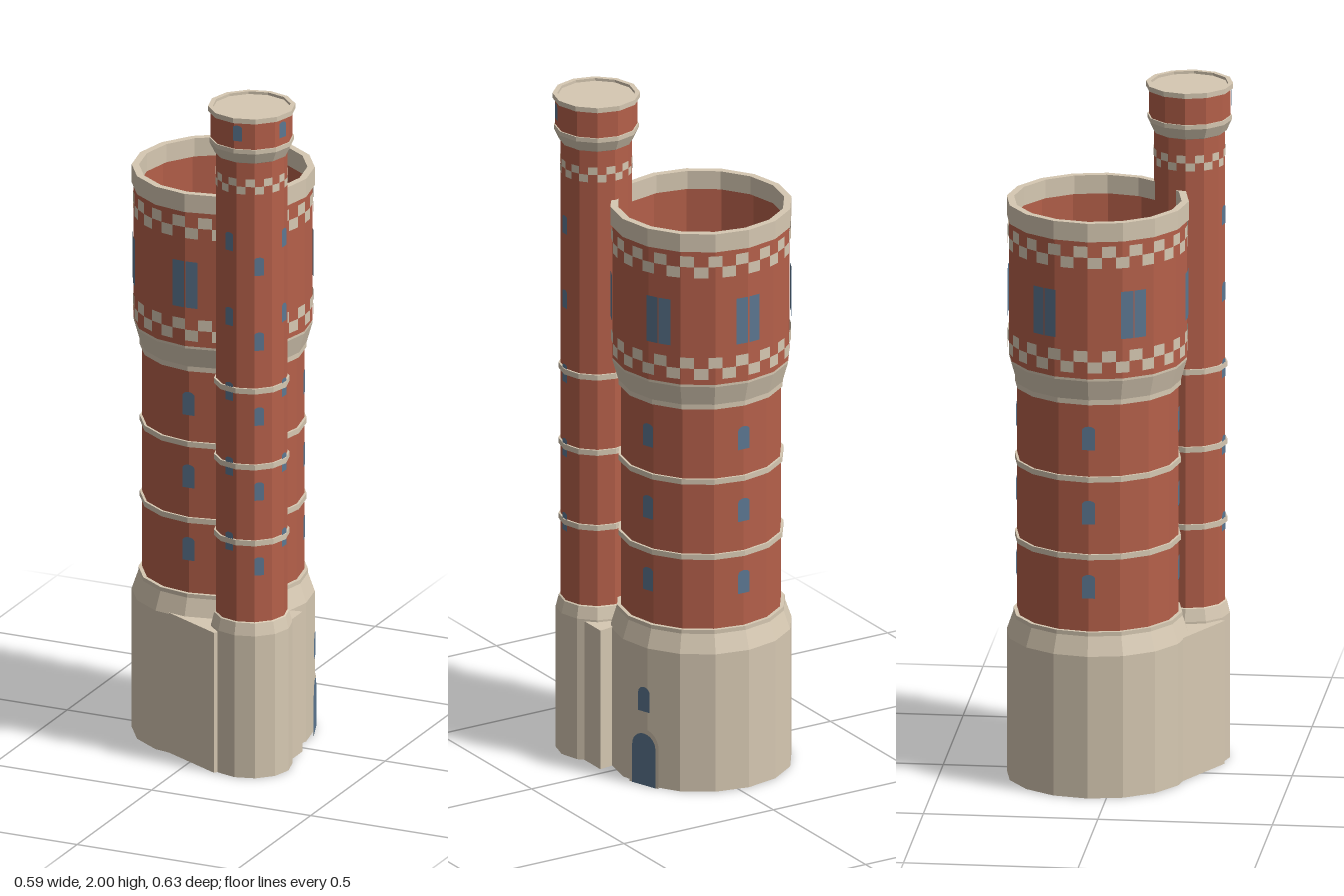
import * as THREE from 'three';

export function createModel() {
  const model = new THREE.Group();
  model.name = 'roundTower';
  const material = (name, color) => {
    const m = new THREE.MeshStandardMaterial({ color, flatShading: true, side: THREE.DoubleSide });
    m.name = name;
    return m;
  };
  const stone = material('paleStone', 0xd6c8b2);
  const brick = material('redBrick', 0xb5604a);
  const glass = material('blueGrey', 0x5c7791);

  const add = (parent, name, geometry, mat) => {
    const mesh = new THREE.Mesh(geometry, mat);
    mesh.name = name;
    parent.add(mesh);
    return mesh;
  };
  const rad = THREE.MathUtils.degToRad;

  // A tower is a group at its own axis; azimuth 0 faces the front, 90 faces +x
  const tower = (name, x, z, sides) => {
    const group = new THREE.Group();
    group.name = name;
    group.position.set(x, 0, z);
    model.add(group);
    return {
      ring(part, mat, ...profile) {
        const points = profile.map(([r, y]) => new THREE.Vector2(r, y));
        add(group, part, new THREE.LatheGeometry(points, sides), mat);
      },
      band(part, r, inner, y0, y1) {
        this.ring(part, stone, [inner, y0], [r, y0], [r, y1], [inner, y1]);
      },
      // Thin upright plate, with an optional arched top
      plate(part, mat, azimuth, r, w, y0, y1, arch = 0) {
        const s = new THREE.Shape();
        s.moveTo(-w / 2, y0);
        s.lineTo(w / 2, y0);
        s.lineTo(w / 2, y1 - arch);
        if (arch) s.absellipse(0, y1 - arch, w / 2, arch, 0, Math.PI, false);
        else s.lineTo(-w / 2, y1);
        s.closePath();
        const g = new THREE.ShapeGeometry(s, 6);
        g.translate(0, 0, r);
        g.rotateY(rad(azimuth));
        add(group, part, g, mat);
      },
      // Two staggered rows of square stones
      checker(part, r, y, h, count) {
        const step = (Math.PI * 2) / count;
        for (let row = 0; row < 2; row++) {
          for (let i = 0; i < count; i++) {
            const g = new THREE.CylinderGeometry(r, r, h, 1, 1, true, (i + row / 2) * step, step / 2);
            g.translate(0, y + (row + 0.5) * h, 0);
            add(group, part, g, stone);
          }
        }
      },
    };
  };

  const bandHeights = [0.7, 0.93, 1.16];

  // Main tower, an open shell
  const main = tower('mainTower', -0.034, -0.053, 16);
  main.ring('mainBase', stone, [0.261, 0], [0.261, 0.42], [0.242, 0.475], [0.242, 0.487], [0.231, 0.487]);
  main.ring('mainShaft', brick, [0.231, 0.487], [0.231, 1.165]);
  bandHeights.slice(0, 2).forEach((y) => main.band('mainBand', 0.238, 0.231, y, y + 0.016));
  main.ring('mainCorbel', stone, [0.231, 1.16], [0.238, 1.16], [0.238, 1.175], [0.255, 1.235], [0.255, 1.242]);
  main.ring('upperWall', brick, [0.255, 1.242], [0.255, 1.65]);
  main.ring('parapet', stone, [0.255, 1.65], [0.261, 1.65], [0.261, 1.705], [0.24, 1.705], [0.24, 1.65], [0.254, 1.65]);
  main.checker('lowerChecker', 0.2575, 1.26, 0.033, 20);
  main.checker('upperChecker', 0.2575, 1.57, 0.033, 20);

  // Paired upper windows
  for (let a = 0; a < 360; a += 60) {
    for (const side of [-1, 1]) {
      main.plate('upperWindow', glass, a + side * 4.6, 0.2575, 0.037, 1.36, 1.5);
    }
  }
  // Shaft windows
  for (const a of [0, 108, 180, 270]) {
    for (const y of [0.585, 0.805, 1.025]) main.plate('shaftWindow', glass, a, 0.2325, 0.038, y, y + 0.07, 0.012);
  }
  // Door, its surround and the small window above
  main.plate('doorSurround', stone, 110, 0.261, 0.105, 0, 0.172, 0.05);
  main.plate('door', glass, 110, 0.2625, 0.084, 0, 0.158, 0.04);
  main.plate('doorWindow', glass, 110, 0.262, 0.042, 0.225, 0.3, 0.02);

  // Stair turret
  const turret = tower('stairTurret', 0.168, 0.187, 12);
  turret.ring('turretBase', stone, [0.116, 0], [0.116, 0.43], [0.107, 0.466], [0.102, 0.468]);
  turret.ring('turretShaft', brick, [0.102, 0.468], [0.102, 1.86]);
  bandHeights.forEach((y) => turret.band('turretBand', 0.108, 0.102, y, y + 0.016));
  turret.checker('turretChecker', 0.1035, 1.764, 0.023, 12);
  turret.ring('turretCorbel', stone, [0.102, 1.858], [0.106, 1.86], [0.121, 1.892], [0.121, 1.905], [0.117, 1.905]);
  turret.ring('turretHead', brick, [0.117, 1.905], [0.117, 1.985]);
  turret.ring('turretRim', stone, [0.117, 1.983], [0.125, 1.985], [0.125, 2], [0.111, 2], [0.111, 1.992], [0, 1.992]);

  // Turret windows climb in staggered columns
  for (const [a, y0] of [[-13, 0.68], [37, 0.61], [88, 0.68]]) {
    for (let i = 0; i < 5; i++) {
      const y = y0 + i * 0.227;
      turret.plate('turretWindow', glass, a, 0.1035, 0.028, y, y + 0.055, 0.008);
    }
  }
  for (const a of [5, 73]) turret.plate('headWindow', glass, a, 0.1185, 0.028, 1.93, 1.977, 0.008);

  // Low stone link between tower and turret, open below
  const plan = [[-0.088, 0.197], [0.1, 0.295], [0.168, 0.187], [0.253, 0.12], [0.253, 0.027], [0.205, 0.035]];
  const top = 0.424;
  const walls = [];
  plan.forEach(([x, z], i) => {
    const [u, w] = plan[(i + 1) % plan.length];
    walls.push(x, 0, z, u, 0, w, u, top, w, x, 0, z, u, top, w, x, top, z);
  });
  const wallGeometry = new THREE.BufferGeometry();
  wallGeometry.setAttribute('position', new THREE.Float32BufferAttribute(walls, 3));
  wallGeometry.computeVertexNormals();
  add(model, 'linkWalls', wallGeometry, stone);
  const roof = new THREE.ShapeGeometry(new THREE.Shape(plan.map(([x, z]) => new THREE.Vector2(x, -z))));
  roof.rotateX(-Math.PI / 2);
  roof.translate(0, top, 0);
  add(model, 'linkRoof', roof, stone);

  return model;
}
